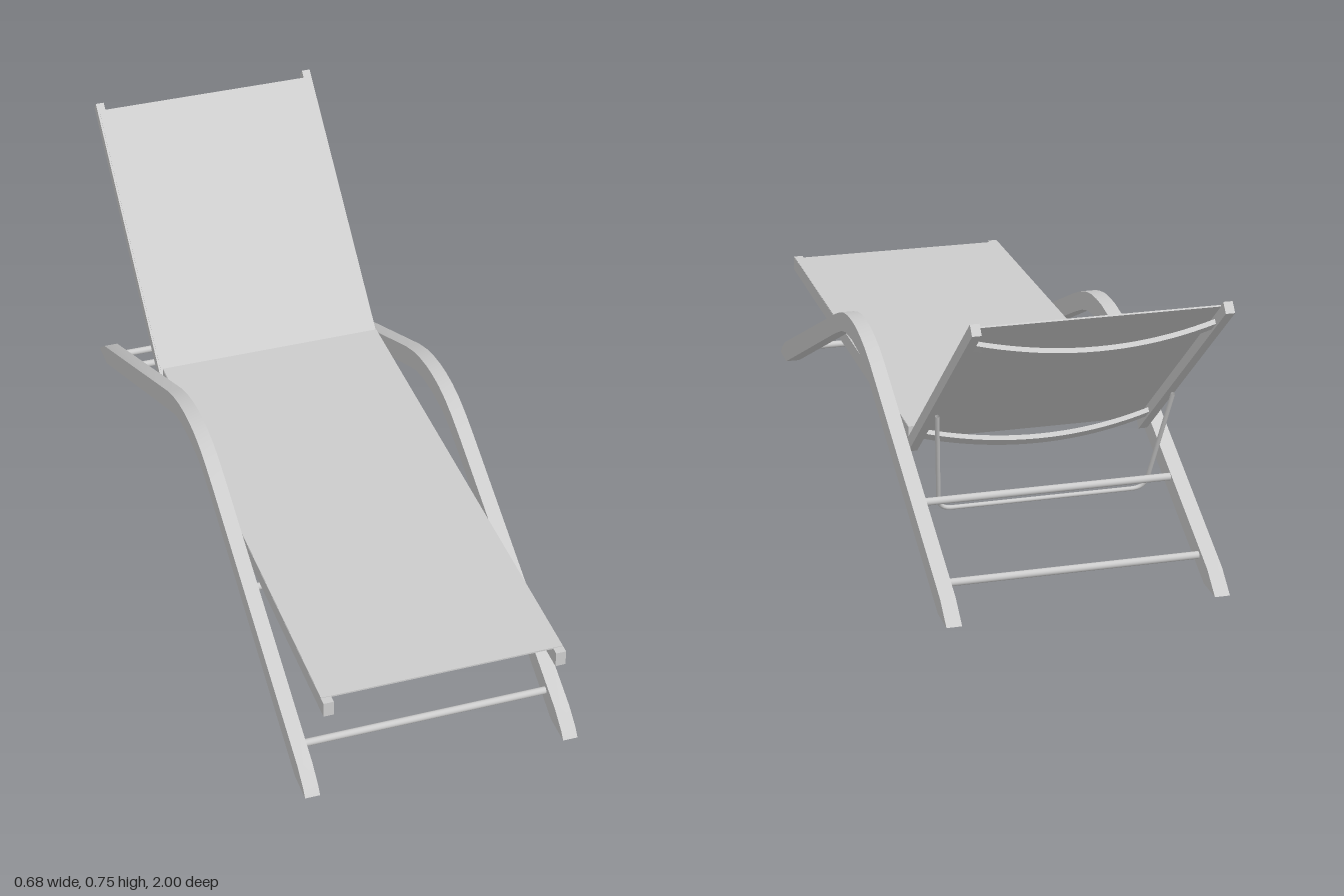
import * as THREE from 'three';
import { toCreasedNormals } from 'three/addons/utils/BufferGeometryUtils.js';

const material = new THREE.MeshStandardMaterial({ color: 0xcccccc, side: THREE.DoubleSide });

function add(parent, name, geometry, x = 0, y = 0, z = 0) {
  const mesh = new THREE.Mesh(geometry, material);
  mesh.name = name;
  mesh.position.set(x, y, z);
  parent.add(mesh);
  return mesh;
}

const box = (w, h, d) => new THREE.BoxGeometry(w, h, d);

// Arched side leg: outline in (z, y), extruded across x
function archGeometry(width) {
  const outline = [
    [1, 0], [0.985, 0.018], [0.94, 0.05], [0.25, 0.367], [0.19, 0.392], [0.14, 0.408], [0.09, 0.417],
    [0.045, 0.419], [0, 0.417], [-0.05, 0.409], [-0.1, 0.396], [-0.16, 0.373], [-0.855, 0.046], [-0.914, 0],
    [-0.834, 0], [-0.126, 0.331], [-0.08, 0.35], [-0.03, 0.362], [0.045, 0.367], [0.12, 0.362],
    [0.17, 0.348], [0.25, 0.314], [0.92, 0],
  ];
  const shape = new THREE.Shape(outline.map(([z, y]) => new THREE.Vector2(z, y)));
  const geometry = new THREE.ExtrudeGeometry(shape, { depth: width, bevelEnabled: false });
  geometry.translate(0, 0, -width / 2).rotateY(-Math.PI / 2);
  return toCreasedNormals(geometry, 0.35);
}

// Flat cross brace that bows away from the backrest fabric
function bowGeometry(halfSpan, sag, thickness, width) {
  const shape = new THREE.Shape();
  shape.moveTo(-halfSpan, 0);
  shape.quadraticCurveTo(0, -2 * sag, halfSpan, 0);
  shape.lineTo(halfSpan, -thickness);
  shape.quadraticCurveTo(0, -2 * sag - thickness, -halfSpan, -thickness);
  shape.closePath();
  const geometry = new THREE.ExtrudeGeometry(shape, { depth: width, bevelEnabled: false, curveSegments: 20 });
  geometry.translate(0, 0, -width / 2);
  return toCreasedNormals(geometry, 0.5);
}

// U-shaped prop: straight legs, rounded lower corners
function propGeometry() {
  const at = (x, y) => new THREE.Vector3(x, y, -0.515 - (y - 0.123) * 0.395);
  const path = new THREE.CurvePath();
  const line = (a, b) => path.add(new THREE.LineCurve3(a, b));
  const bend = (a, b, c) => path.add(new THREE.QuadraticBezierCurve3(a, b, c));
  line(at(-0.289, 0.405), at(-0.262, 0.152));
  bend(at(-0.262, 0.152), at(-0.258, 0.123), at(-0.225, 0.123));
  line(at(-0.225, 0.123), at(0.225, 0.123));
  bend(at(0.225, 0.123), at(0.258, 0.123), at(0.262, 0.152));
  line(at(0.262, 0.152), at(0.289, 0.405));
  return new THREE.TubeGeometry(path, 120, 0.0055, 10, false);
}

export function createModel() {
  const model = new THREE.Group();
  model.name = 'sunLounger';

  // Legs and seat rails, mirrored
  for (const [label, s] of [['left', 1], ['right', -1]]) {
    add(model, label + 'ArchedLeg', archGeometry(0.037), s * 0.3235, 0, 0);
    add(model, label + 'SeatRail', box(0.025, 0.039, 1.375), s * 0.285, 0.2645, 0.3125);
  }

  // Round crossbars between the arches
  const bars = [['frontFoot', 0.055, 0.875], ['seatSupport', 0.237, 0.5], ['rearUpper', 0.168, -0.57], ['rearFoot', 0.055, -0.79]];
  for (const [label, y, z] of bars) {
    const rod = new THREE.CylinderGeometry(0.0092, 0.0092, 0.612, 16);
    add(model, label + 'Crossbar', rod.rotateZ(Math.PI / 2), 0, y, z);
  }

  // Seat fabric
  add(model, 'seatFabric', box(0.594, 0.004, 1.355), 0, 0.2835, 0.3025);

  // Reclined backrest, built flat along -z then tilted
  const backrest = new THREE.Group();
  backrest.name = 'backrest';
  backrest.position.set(0, 0.24, -0.385);
  backrest.rotation.x = THREE.MathUtils.degToRad(39.7);
  model.add(backrest);
  const length = 0.786;
  for (const [label, s] of [['left', 1], ['right', -1]]) {
    add(backrest, label + 'BackrestRail', box(0.022, 0.029, length), s * 0.292, 0, -length / 2);
  }
  add(backrest, 'backrestFabric', box(0.596, 0.004, 0.755), 0, 0.0135, -0.3875);
  add(backrest, 'lowerBowedBrace', bowGeometry(0.283, 0.04, 0.012, 0.036), 0, 0.004, -0.09);
  add(backrest, 'upperBowedBrace', bowGeometry(0.283, 0.04, 0.012, 0.036), 0, 0.004, -0.691);

  // Folding prop under the backrest
  add(model, 'backrestProp', propGeometry());

  return model;
}
